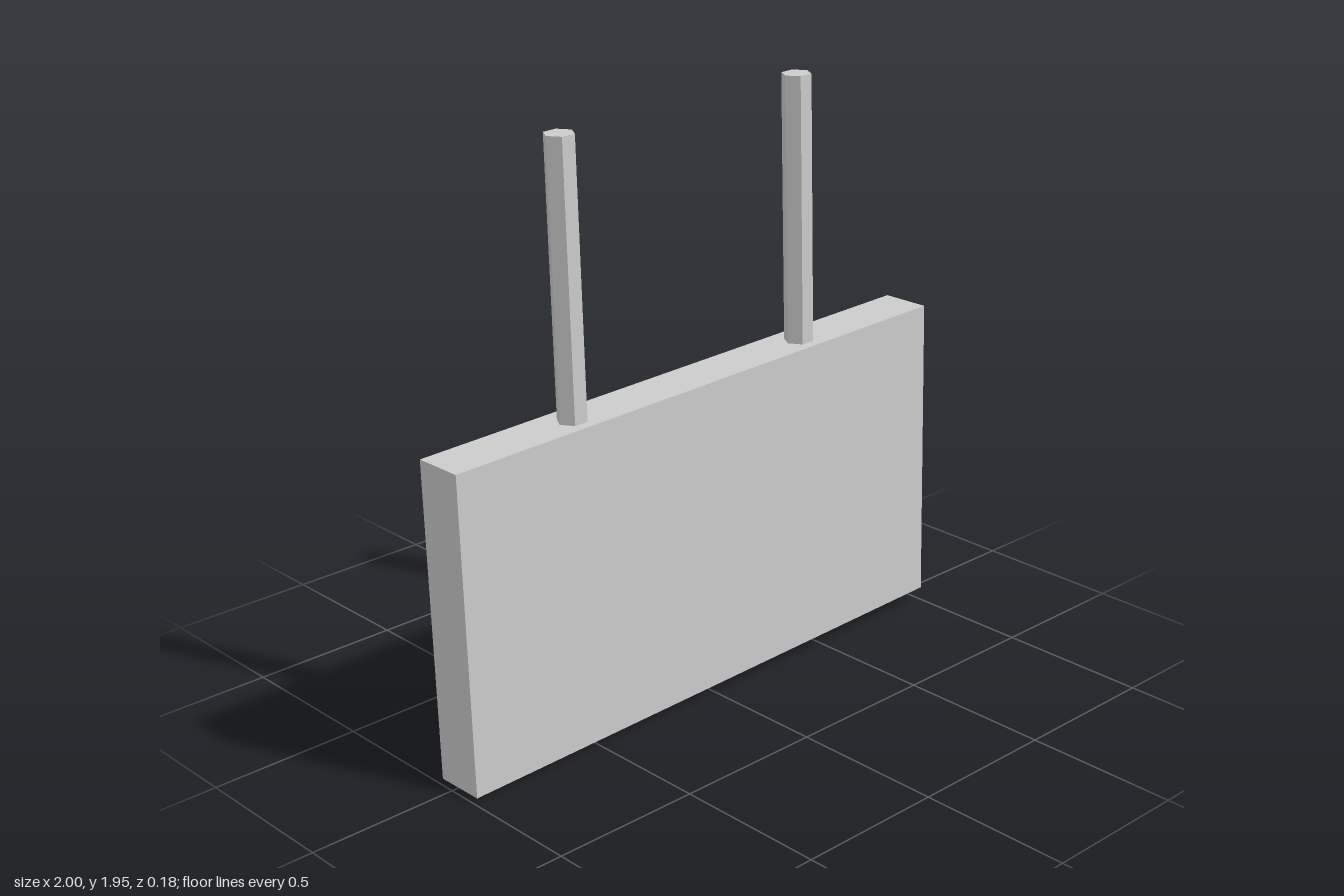
import * as THREE from 'three';

const W = 1.976, H = 1.039, D = 0.165;       // sign panel size
const BORDER_X = 0.086, BORDER_Y = 0.078;    // flat rim around the hollow back
const RECESS = 0.074, TAPER = 0.045;         // depth of the hollow and slope of its walls
const ROD_R = 0.048, ROD_H = 0.872;

// Skin over a series of rectangles [width, height, z]
function rectangleLoft(sections) {
  const corners = [[-0.5, -0.5], [0.5, -0.5], [0.5, 0.5], [-0.5, 0.5]];
  const point = (s, k) => {
    const [w, h, z] = sections[s];
    const [cx, cy] = corners[k % 4];
    return [cx * w, cy * h, z];
  };
  const positions = [];
  for (let s = 0; s < sections.length - 1; s++) {
    for (let k = 0; k < 4; k++) {
      const a = point(s, k), b = point(s, k + 1);
      const c = point(s + 1, k), d = point(s + 1, k + 1);
      if (sections[s][0] > 0) positions.push(...a, ...c, ...b);
      if (sections[s + 1][0] > 0) positions.push(...b, ...c, ...d);
    }
  }
  const geometry = new THREE.BufferGeometry();
  geometry.setAttribute('position', new THREE.Float32BufferAttribute(positions, 3));
  geometry.computeVertexNormals();
  return geometry;
}

export function createModel() {
  const model = new THREE.Group();
  model.name = 'hangingSign';
  const grey = new THREE.MeshStandardMaterial({ color: 0xcccccc, flatShading: true });
  grey.name = 'lightGrey';

  // The whole sign hangs slightly crooked
  const sign = new THREE.Group();
  sign.name = 'sign';
  sign.rotation.set(-0.011, 0, 0.0225);
  sign.position.set(0, 0.543, 0.001);
  model.add(sign);

  const add = (name, geometry, x, y, z) => {
    const mesh = new THREE.Mesh(geometry, grey);
    mesh.name = name;
    mesh.position.set(x, y, z);
    sign.add(mesh);
  };

  // Panel: front face, outer sides, back rim, sloped recess walls, recess floor
  const mouthW = W - 2 * BORDER_X, mouthH = H - 2 * BORDER_Y;
  const floorZ = -D / 2 + RECESS;
  add('panel', rectangleLoft([
    [0, 0, D / 2],
    [W, H, D / 2],
    [W, H, -D / 2],
    [mouthW, mouthH, -D / 2],
    [mouthW - 2 * TAPER, mouthH - 2 * TAPER, floorZ],
    [0, 0, floorZ],
  ]), 0, 0, 0);

  // Two hexagonal hanging rods
  for (const [name, x] of [['rightRod', -0.494], ['leftRod', 0.465]]) {
    const rod = new THREE.CylinderGeometry(ROD_R, ROD_R, ROD_H, 6).rotateY(Math.PI / 6);
    add(name, rod, x, H / 2 + ROD_H / 2, 0.007);
  }
  return model;
}
